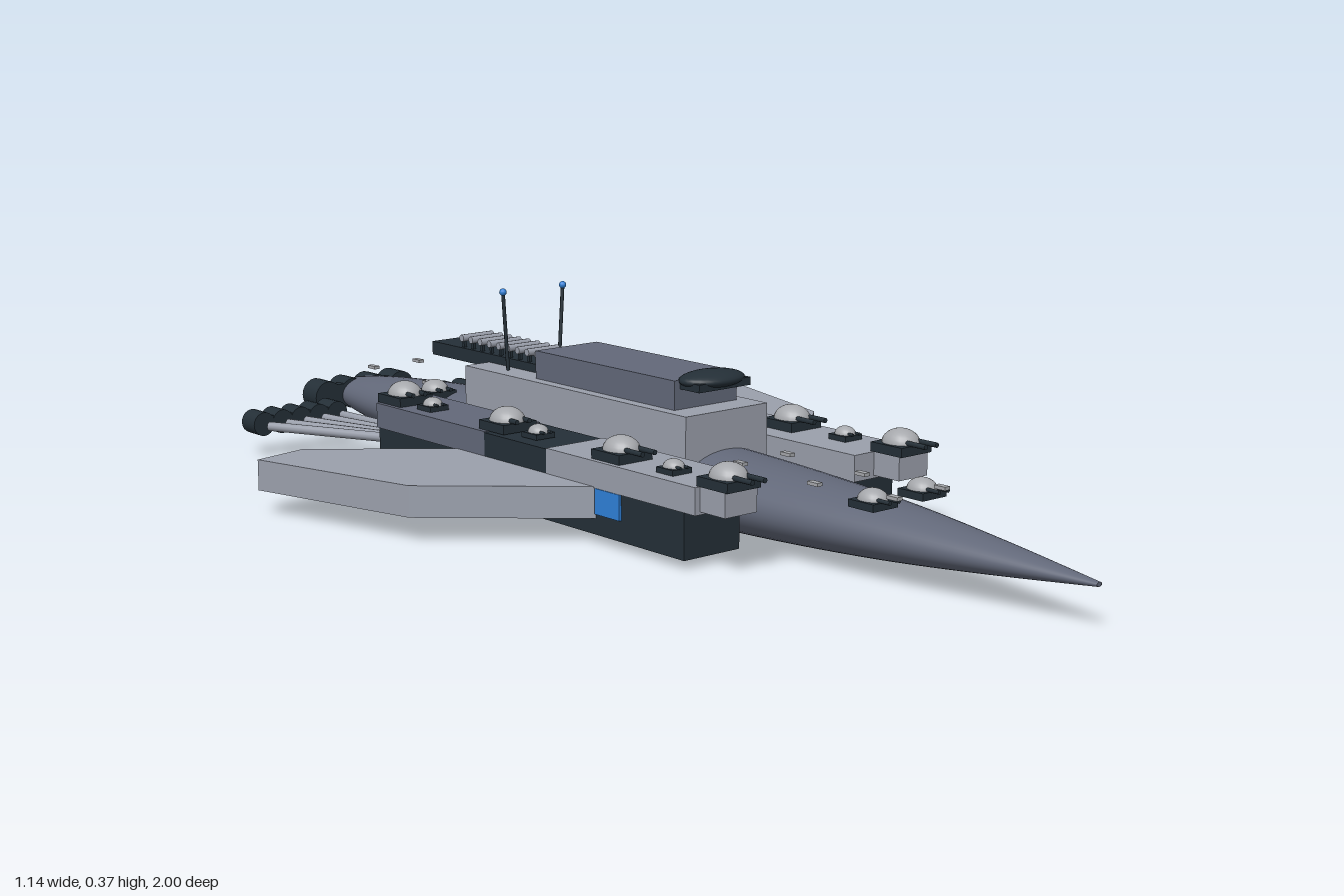
import * as THREE from 'three';

const mat = (name, color) => Object.assign(new THREE.MeshStandardMaterial({ color }), { name });
const hullGrey = mat('hull grey', 0x626879);
const lightGrey = mat('light grey', 0x9a9fab);
const dark = mat('dark steel', 0x242f37);
const domeGrey = mat('dome grey', 0xa6a8ac);
const blue = mat('blue glow', 0x2f80d8);

export function createModel() {
  const root = new THREE.Group();
  root.name = 'spaceship';

  const add = (name, geo, material, x = 0, y = 0, z = 0, parent = root) => {
    const m = new THREE.Mesh(geo, material);
    m.name = name;
    m.position.set(x, y, z);
    parent.add(m);
    return m;
  };
  // box given by its centre x and its y and z ranges
  const box = (name, material, x, w, y0, y1, z0, z1, parent = root) =>
    add(name, new THREE.BoxGeometry(w, y1 - y0, z1 - z0), material, x, (y0 + y1) / 2, (z0 + z1) / 2, parent);
  // cylinder between two points
  const rod = (name, material, a, b, r, parent = root, sides = 10) => {
    const p = new THREE.Vector3(...a), q = new THREE.Vector3(...b);
    const d = q.clone().sub(p);
    const m = add(name, new THREE.CylinderGeometry(r, r, d.length(), sides), material, 0, 0, 0, parent);
    m.position.copy(p).add(q).multiplyScalar(0.5);
    m.quaternion.setFromUnitVectors(new THREE.Vector3(0, 1, 0), d.normalize());
    return m;
  };

  // spindle hull, flattened in height
  const profile = [[0.05, -0.97], [0.066, -0.9], [0.082, -0.8], [0.104, -0.6], [0.113, -0.4], [0.117, -0.15],
    [0.115, 0], [0.108, 0.2], [0.095, 0.4], [0.074, 0.6], [0.043, 0.8], [0.01, 0.98], [0.006, 1]];
  const curve = new THREE.SplineCurve(profile.map(p => new THREE.Vector2(...p))).getPoints(48);
  const hullGeo = new THREE.LatheGeometry(
    [new THREE.Vector2(0, -0.97), ...curve, new THREE.Vector2(0, 1)], 40);
  hullGeo.rotateX(Math.PI / 2).scale(1, 0.62, 1);
  add('hull', hullGeo, hullGrey, 0, 0.075, 0);

  // superstructure
  box('lowerDeck', lightGrey, 0, 0.19, 0.09, 0.212, -0.46, 0.175);
  box('upperDeck', hullGrey, 0, 0.146, 0.212, 0.264, -0.27, 0.12);
  const visor = add('bridgeVisor', new THREE.SphereGeometry(1, 28, 14), dark, 0, 0.262, 0.135);
  visor.scale.set(0.067, 0.016, 0.045);
  box('bridgeSill', dark, 0, 0.12, 0.248, 0.262, 0.1, 0.17);

  // aft gantry with rungs
  box('gantry', dark, 0, 0.078, 0.202, 0.228, -0.645, -0.26);
  for (let i = 0; i < 10; i++) {
    const z = -0.285 - i * 0.0295;
    rod('rung', lightGrey, [-0.037, 0.246, z], [0.037, 0.246, z], 0.007);
    for (const s of [-1, 1]) box('rungPost', dark, s * 0.03, 0.006, 0.225, 0.243, z - 0.003, z + 0.003);
  }

  // rear-facing engine: body, rim and glowing disc
  const engine = (x, y, r, z0, z1) => {
    const g = new THREE.Group();
    g.name = 'engine';
    root.add(g);
    rod('engineBody', dark, [x, y, z0 + 0.004], [x, y, z1], r, g, 20);
    add('engineRim', new THREE.TorusGeometry(r * 0.78, r * 0.2, 8, 24), domeGrey, x, y, z0 + r * 0.2, g);
    rod('engineGlow', blue, [x, y, z0 + 0.002], [x, y, z0 + 0.008], r * 0.6, g, 20);
  };
  for (const x of [-0.09, -0.03, 0.03, 0.09]) engine(x, 0.078, 0.031, -1, -0.945);
  box('engineBeam', dark, 0, 0.2, 0.055, 0.1, -0.965, -0.945);

  // gun turret: base, dome and twin barrels
  const turret = (x, y, z, k, barrels) => {
    const g = new THREE.Group();
    g.name = 'turret';
    g.position.set(x, y, z);
    g.scale.setScalar(k);
    root.add(g);
    box('turretBase', dark, 0, 0.07, 0, 0.016, -0.035, 0.035, g);
    const dome = add('turretDome', new THREE.SphereGeometry(0.03, 20, 8, 0, Math.PI * 2, 0, Math.PI / 2), domeGrey, 0, 0.014, 0, g);
    dome.scale.set(1, 0.85, 1.15);
    for (const s of [-1, 1]) {
      rod('barrel', dark, [s * 0.013, 0.02, 0.015], [s * 0.013, 0.02, barrels], 0.0045, g, 8);
    }
  };

  for (const s of [-1, 1]) {
    // side pod: dark keel with three top sections
    const px = s * 0.182;
    box('podKeel', dark, px, 0.122, 0.018, 0.1, -0.535, 0.34);
    box('podFore', lightGrey, px, 0.128, 0.1, 0.147, -0.02, 0.37);
    box('podMiddle', dark, px, 0.126, 0.1, 0.145, -0.2, -0.02);
    box('podAft', hullGrey, px, 0.126, 0.1, 0.147, -0.54, -0.2);
    box('podWindow', blue, s * 0.2445, 0.006, 0.055, 0.1, 0.115, 0.18);

    // swept wing
    const outline = [[0.24, 0.115], [0.48, -0.1], [0.568, -0.44], [0.46, -0.462], [0.24, -0.28]];
    const wing = new THREE.ExtrudeGeometry(
      new THREE.Shape(outline.map(([x, z]) => new THREE.Vector2(s * x, z))), { depth: 0.056, bevelEnabled: false });
    add('wing', wing.rotateX(Math.PI / 2), lightGrey, 0, 0.102, 0);

    // fanned exhaust pipes and their engines
    for (let i = 0; i < 5; i++) {
      const x = s * (0.145 + i * 0.0425);
      rod('exhaustPipe', lightGrey, [s * (0.15 + i * 0.015), 0.075, -0.53], [x, 0.068, -0.81], 0.009);
      engine(x, 0.069, 0.0235, -0.88, -0.83);
    }
    box('engineBeam', dark, s * 0.23, 0.17, 0.055, 0.083, -0.85, -0.832);

    // pod turrets, large and small
    for (const z of [0.4, 0.13, -0.19, -0.51]) turret(s * 0.2, 0.147, z, 1.05, z > 0 ? 0.068 : 0.045);
    for (const z of [0.265, -0.1, -0.42]) turret(s * 0.2, 0.147, z, 0.6, 0.045);
    box('turretMount', lightGrey, s * 0.2, 0.07, 0.105, 0.147, 0.365, 0.43);

    // hull turrets
    turret(s * 0.057, 0.125, 0.585, 0.8, 0.06);
    turret(s * 0.067, 0.128, -0.6, 0.85, 0.045);

    // small deck plates
    for (const [z, y] of [[0.63, 0.148], [0.45, 0.139], [0.27, 0.142], [-0.64, 0.148], [-0.83, 0.152]]) {
      box('deckPlate', domeGrey, s * 0.055, 0.012, y - 0.003, y + 0.003, z - 0.012, z + 0.012);
    }

    // antenna with blue tip
    rod('antenna', dark, [s * 0.061, 0.21, -0.37], [s * 0.071, 0.36, -0.37], 0.0035, root, 8);
    add('antennaTip', new THREE.SphereGeometry(0.007, 12, 8), blue, s * 0.071, 0.361, -0.37);
  }
  return root;
}
